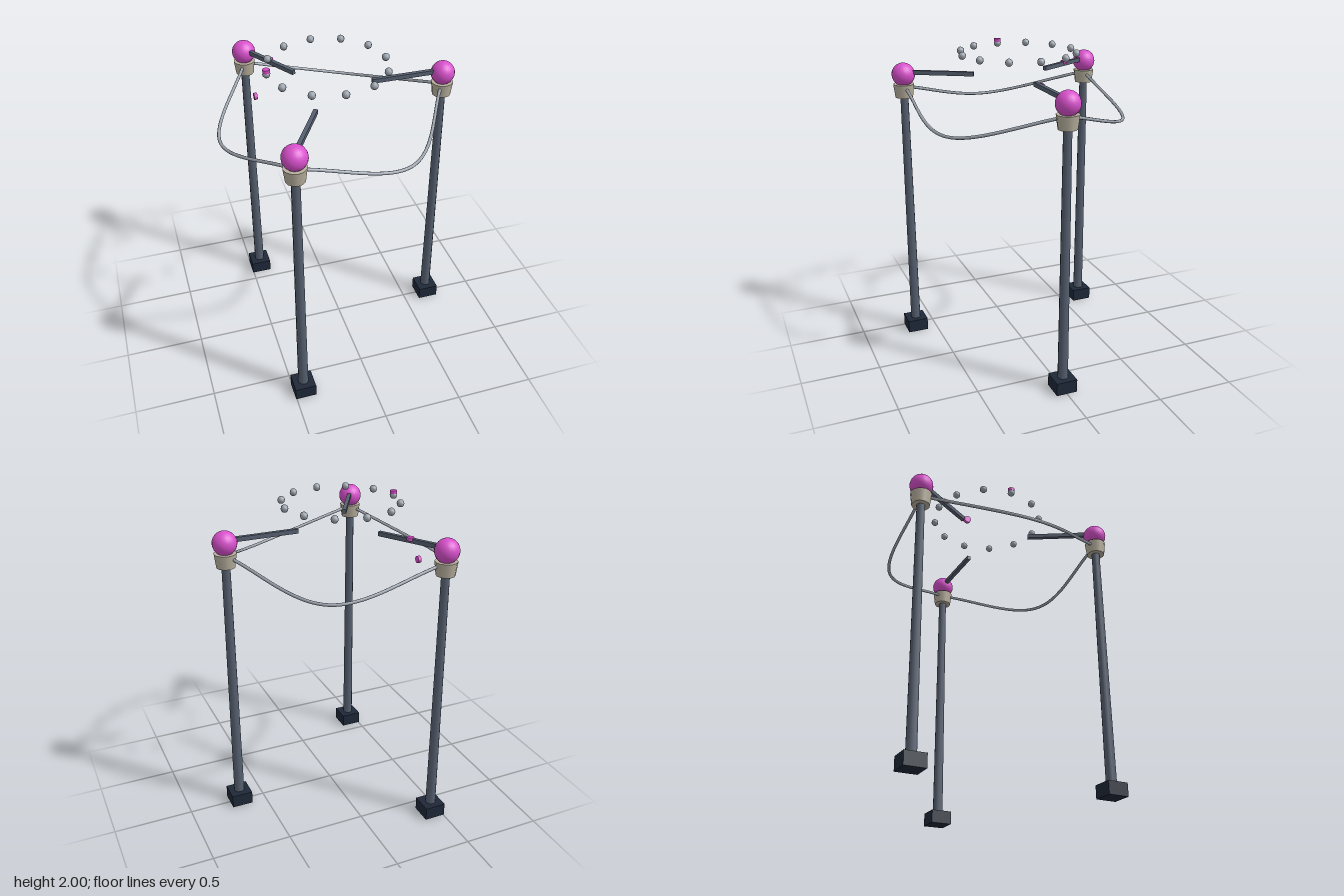
import * as THREE from 'three';

const mat = (color) => new THREE.MeshStandardMaterial({ color });
const magenta = mat(0xd850cc), steel = mat(0x566070), navy = mat(0x1f2838);
const stone = mat(0xb8b09e), silver = mat(0x9ca4ae);

const CX = -0.07;          // ring axis
const POST_R = 0.735;      // posts' distance from the axis

// Point at an angle and distance from the ring axis
const polar = (angle, r, y) =>
  new THREE.Vector3(CX + r * Math.cos(angle), y, r * Math.sin(angle));

function add(parent, name, geometry, material, x = 0, y = 0, z = 0) {
  const mesh = new THREE.Mesh(geometry, material);
  mesh.name = name;
  mesh.position.set(x, y, z);
  parent.add(mesh);
  return mesh;
}

// Post with foot, collar, globe and an arm pointing to the axis
function createPost(angle) {
  const post = new THREE.Group();
  post.name = 'post';
  post.position.copy(polar(angle, POST_R, 0));
  add(post, 'foot', new THREE.BoxGeometry(0.135, 0.084, 0.135), navy, 0, 0.042);
  add(post, 'shaft', new THREE.CylinderGeometry(0.026, 0.033, 1.62, 10), steel, 0, 0.87);
  add(post, 'collar', new THREE.CylinderGeometry(0.068, 0.057, 0.085, 12), stone, 0, 1.707);
  add(post, 'globe', new THREE.SphereGeometry(0.074, 20, 14), magenta, 0, 1.81);

  const length = POST_R - 0.28;
  const arm = add(post, 'arm', new THREE.BoxGeometry(length, 0.027, 0.025), steel,
    -Math.cos(angle) * length / 2, 1.825, -Math.sin(angle) * length / 2);
  arm.rotation.y = -angle;
  return post;
}

// Cable sagging outward between two neighbouring posts
function createCable(angle) {
  const third = Math.PI / 3;
  const path = new THREE.CatmullRomCurve3([
    polar(angle - third, POST_R, 1.735),
    polar(angle, 0.66, 1.575),
    polar(angle + third, POST_R, 1.735),
  ]);
  return new THREE.TubeGeometry(path, 48, 0.01, 8);
}

export function createModel() {
  const model = new THREE.Group();
  model.name = 'ringStand';

  for (let i = 0; i < 3; i++) {
    const angle = i * Math.PI * 2 / 3;
    model.add(createPost(angle));
    add(model, 'cable', createCable(angle + Math.PI / 3), silver);
  }

  // Floating ring of beads
  const bead = new THREE.SphereGeometry(0.024, 8, 6);
  for (let i = 0; i < 12; i++) {
    const p = polar(i * Math.PI / 6, 0.36, 1.97);
    add(model, 'bead', bead, silver, p.x, p.y, p.z);
  }

  // Marker discs: on a bead, on an arm, and one standing upright
  const disc = new THREE.CylinderGeometry(0.022, 0.022, 0.02, 12);
  add(model, 'beadMarker', disc, magenta, -0.43, 1.99, 0);
  add(model, 'armMarker', disc, magenta, -0.316, 1.835, -0.43);
  add(model, 'uprightMarker', disc, magenta, -0.44, 1.655, -0.323).rotation.z = Math.PI / 2;

  return model;
}
